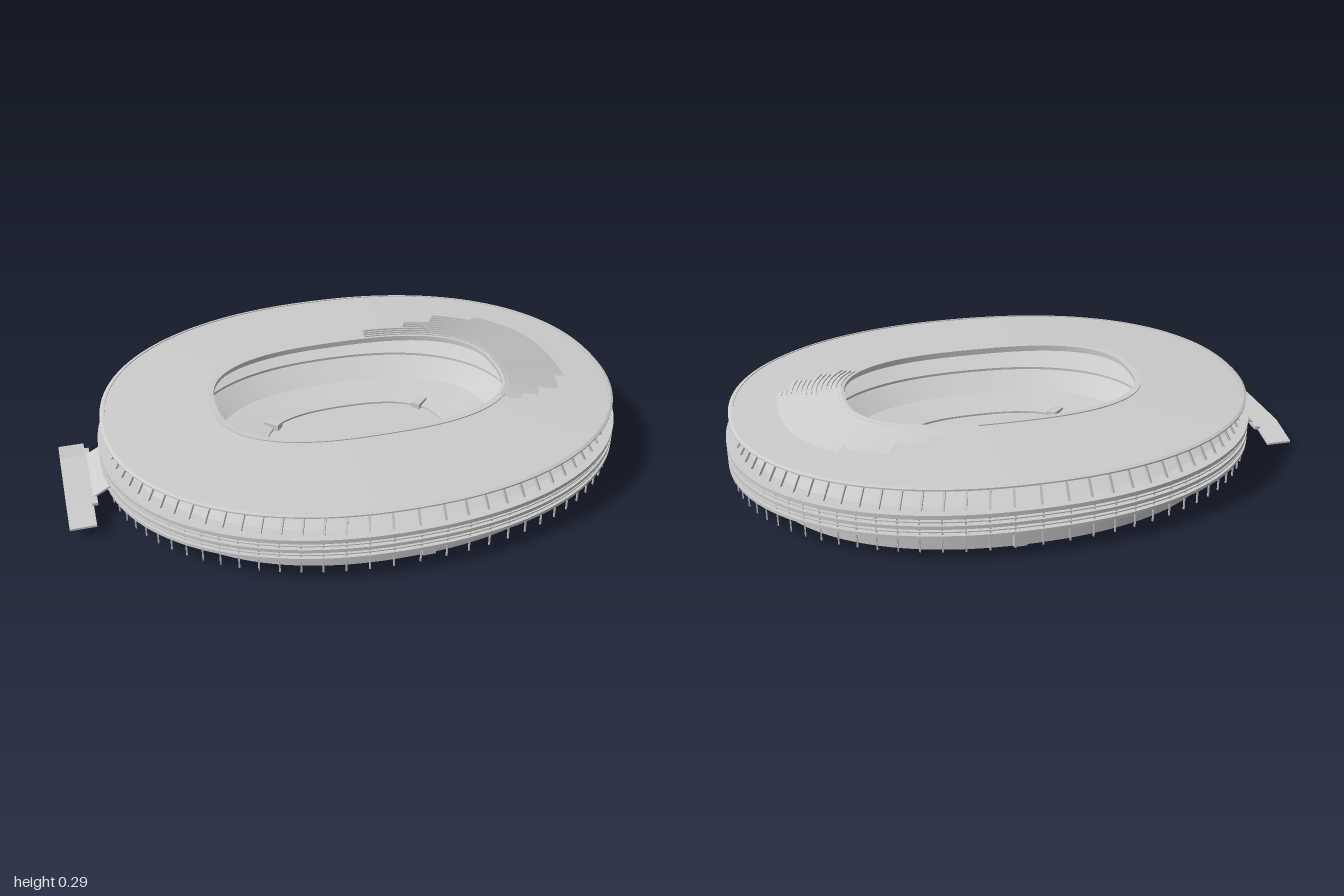
import * as THREE from 'three';
import { mergeGeometries } from 'three/addons/utils/BufferGeometryUtils.js';

const CX = 0.065;
const TAU = Math.PI * 2;
const mat = new THREE.MeshStandardMaterial({ color: 0xcccccc, side: THREE.DoubleSide });

// Oval described by half length a, half width b, height y and squareness n
const oval = (a, b, y, n = 2.18) => ({ a, b, y, n });
const WALL = (y) => oval(0.817, 0.63, y);
const RIM = (s, y) => oval(0.93 * s, 0.716 * s, y);
const ROOF_OUT = oval(0.914, 0.714, 0.263);
const ROOF_IN = oval(0.53, 0.325, 0.287, 2.6);

function at(o, t) {
  const c = Math.cos(t), s = Math.sin(t), e = 2 / o.n;
  return new THREE.Vector3(
    CX + o.a * Math.sign(c) * Math.abs(c) ** e, o.y, o.b * Math.sign(s) * Math.abs(s) ** e);
}

// Oval on the roof, k = 0 at the opening and 1 at the eave
function onRoof(k, lift) {
  const l = (key) => ROOF_IN[key] + (ROOF_OUT[key] - ROOF_IN[key]) * k;
  return oval(l('a'), l('b'), l('y') + lift, l('n'));
}

// Strips joining successive ovals: smooth around, crisp from strip to strip
function loft(ovals, t0 = 0, t1 = TAU, seg = 128) {
  const strips = [];
  for (let k = 0; k + 1 < ovals.length; k++) {
    const pos = [], idx = [];
    for (let i = 0; i <= seg; i++) {
      const t = t0 + (t1 - t0) * i / seg;
      pos.push(...at(ovals[k], t).toArray(), ...at(ovals[k + 1], t).toArray());
      if (i < seg) idx.push(2 * i, 2 * i + 1, 2 * i + 2, 2 * i + 1, 2 * i + 3, 2 * i + 2);
    }
    const g = new THREE.BufferGeometry();
    g.setAttribute('position', new THREE.Float32BufferAttribute(pos, 3));
    g.setIndex(idx);
    g.computeVertexNormals();
    strips.push(g);
  }
  return mergeGeometries(strips);
}

// Square bar between two points
function bar(p, q, w) {
  const g = new THREE.BoxGeometry(w, w, p.distanceTo(q));
  const o = new THREE.Object3D();
  o.position.copy(p).add(q).multiplyScalar(0.5);
  o.lookAt(q);
  o.updateMatrix();
  return g.applyMatrix4(o.matrix);
}

const box = (w, h, d, x, y, z) => new THREE.BoxGeometry(w, h, d).translate(x, y, z);

// Closed ring of rectangular section
function band(s0, s1, y0, y1) {
  return loft([RIM(s0, y0), RIM(s1, y0), RIM(s1, y1), RIM(s0, y1), RIM(s0, y0)]);
}

export function createModel() {
  const model = new THREE.Group();
  const add = (name, ...geos) => {
    const mesh = new THREE.Mesh(geos.length > 1 ? mergeGeometries(geos) : geos[0], mat);
    mesh.name = name;
    model.add(mesh);
  };

  // Base wall and the gate boxes set into it
  add('baseWall', loft([WALL(0), WALL(0.1)]));
  add('gates',
    box(0.045, 0.085, 0.105, 0.12, 0.0425, 0.585),
    box(0.045, 0.085, 0.105, 0.12, 0.0425, -0.585),
    box(0.11, 0.085, 0.045, 0.836, 0.0425, 0.03));

  // Pitch with four corner tunnels
  const pitch = oval(0.33, 0.21, 0.06, 2.5);
  add('pitch', loft([oval(0.001, 0.001, 0.06, 2.5), pitch]));
  const tunnels = [];
  for (const sx of [-1, 1]) for (const sz of [-1, 1]) {
    tunnels.push(new THREE.BoxGeometry(0.06, 0.028, 0.035)
      .rotateY(-sx * sz * 0.75).translate(CX + sx * 0.285, 0.068, sz * 0.15));
  }
  add('cornerTunnels', ...tunnels);

  // Seating bowl in two tiers with a sloping back
  add('seatingBowl', loft([
    pitch, oval(0.33, 0.21, 0.067, 2.5),
    oval(0.515, 0.345, 0.09, 2.4), oval(0.6, 0.435, 0.143, 2.3), oval(0.6, 0.435, 0.152, 2.3),
    oval(0.765, 0.585, 0.203), oval(0.78, 0.6, 0.203), oval(0.88, 0.675, 0.17),
  ]));

  // Concourse: back wall, decks and rails
  add('concourseWall', loft([RIM(0.94, 0.095), RIM(0.94, 0.172)]));
  add('lowerDeck', loft([WALL(0.097), RIM(0.97, 0.097)]));
  add('concourseBands',
    band(0.93, 1, 0.092, 0.103), band(0.93, 1, 0.126, 0.138), band(0.93, 1, 0.161, 0.175));
  add('rails', band(0.99, 0.997, 0.113, 0.117), band(0.99, 0.997, 0.148, 0.152));

  // Outer posts, leaning posts, and bowl columns carrying branching roof struts
  const posts = [], leaning = [], columns = [], struts = [];
  const N = 80;
  const bowlTop = oval(0.775, 0.595, 0.202), hub = oval(0.79, 0.607, 0.222), eave = RIM(0.9, 0.25);
  for (let i = 0; i < N; i++) {
    const t = TAU * i / N, h = TAU / N / 2;
    posts.push(bar(at(RIM(0.985, 0.04), t), at(RIM(0.985, 0.175), t), 0.005));
    leaning.push(bar(at(RIM(0.965, 0.172), t), at(RIM(0.915, 0.252), t), 0.007));
    columns.push(bar(at(bowlTop, t), at(hub, t), 0.007));
    for (const d of [-h, h]) struts.push(bar(at(hub, t), at(eave, t + d), 0.007));
  }
  add('outerPosts', ...posts);
  add('leaningPosts', ...leaning);
  add('bowlColumns', ...columns);
  add('roofStruts', ...struts);
  add('eaveBeam', band(0.91, 0.93, 0.23, 0.254));

  // Roof shell with eave lip and opening rim
  const lip = oval(0.914, 0.714, 0.258);
  const rimLow = oval(0.53, 0.325, 0.262, 2.6);
  add('roof', loft([ROOF_IN, ROOF_OUT, lip, RIM(0.9, 0.25), rimLow, ROOF_IN]));
  add('eaveTrim', loft([onRoof(0.955, 0.001), onRoof(0.955, 0.004), onRoof(0.975, 0.004), ROOF_OUT]));
  add('openingRim', loft([
    oval(0.515, 0.312, 0.276, 2.6), oval(0.515, 0.312, 0.289, 2.6),
    oval(0.537, 0.334, 0.29, 2.6), oval(0.537, 0.334, 0.284, 2.6)]));

  // Stepped terrace on the roof: [first row, last row, start angle, end angle]
  const rows = [];
  const blocks = [[0, 4, -1.43, 0.6], [4, 7, -1.165, 0.474], [7, 11, -0.99, 0.35], [11, 13, -0.717, 0.18]];
  const row = 0.0445;
  for (const [r0, r1, a0, a1] of blocks) {
    for (let r = r0; r < r1; r++) {
      const k = r * row - 0.01;
      rows.push(loft([onRoof(k, 0.001), onRoof(k, 0.006), onRoof(k + row, 0.001)], a0, a1, 40));
    }
  }
  add('terraceRows', ...rows);

  // Entrance bridge: deck with ramped ends, footings and a sloping link
  const side = new THREE.Shape();
  [[-0.25, 0.04], [-0.13, 0.068], [0.13, 0.068], [0.25, 0.04],
    [0.25, 0.047], [0.13, 0.077], [-0.13, 0.077], [-0.25, 0.047]]
    .forEach(([z, y], i) => (i ? side.lineTo(z, y) : side.moveTo(z, y)));
  add('bridgeDeck', new THREE.ExtrudeGeometry(side, { depth: 0.09, bevelEnabled: false })
    .rotateY(-Math.PI / 2).translate(-0.91, 0, 0));
  add('bridgeFootings',
    box(0.06, 0.03, 0.04, -0.95, 0.055, 0.1), box(0.06, 0.03, 0.04, -0.95, 0.055, -0.1));
  const link = new THREE.BoxGeometry(0.085, 0.007, 0.26).rotateZ(0.5);
  add('bridgeLink', link.translate(-0.878, 0.09, 0));
  add('bridgeLanding', box(0.02, 0.01, 0.34, -0.905, 0.073, 0));

  return model;
}
